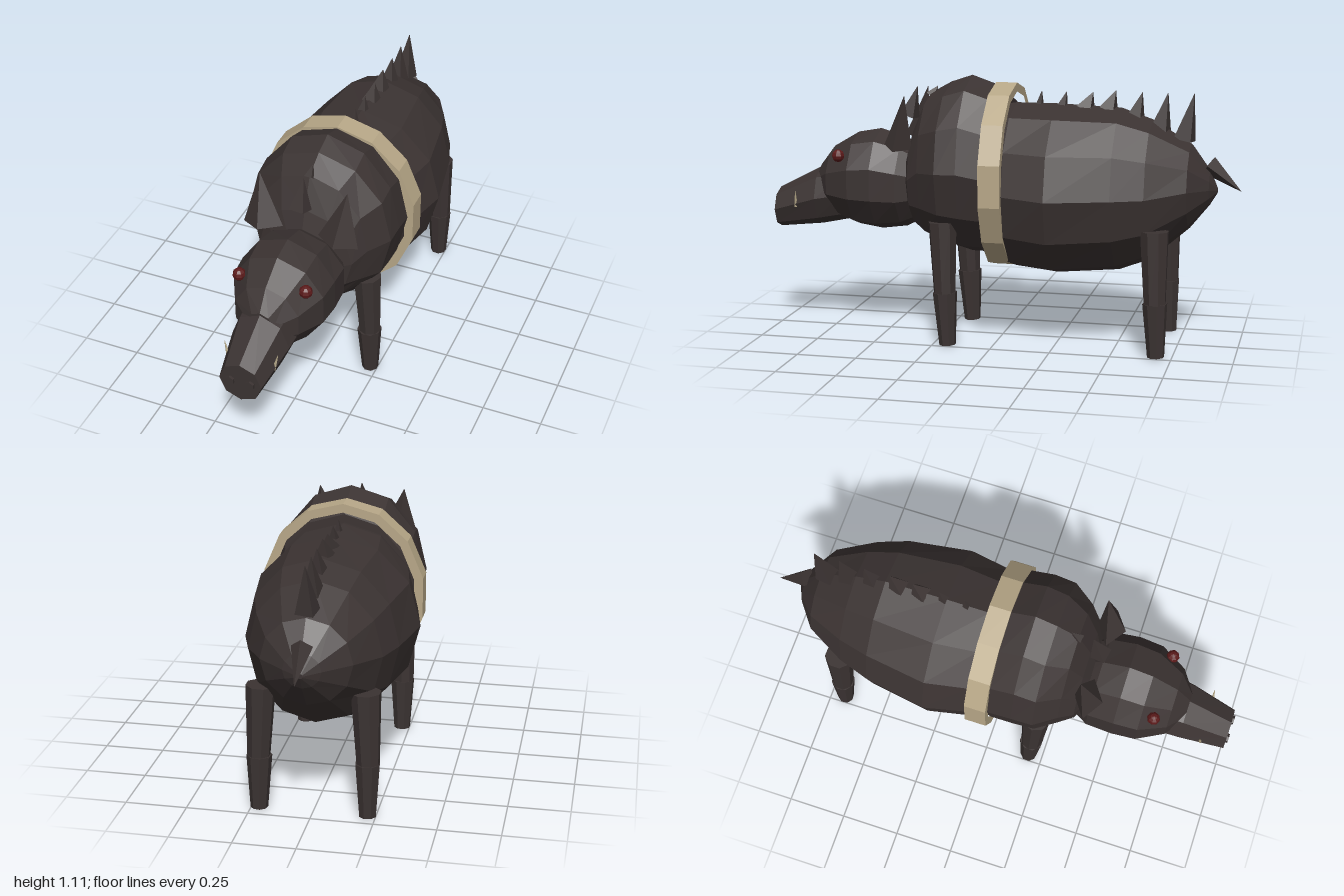
import * as THREE from 'three';

export function createModel() {
  const model = new THREE.Group();
  model.name = 'boar';
  const mat = (name, color) => {
    const m = new THREE.MeshStandardMaterial({ color, flatShading: true });
    m.name = name;
    return m;
  };
  const hide = mat('dark hide', 0x3b3332);
  const tan = mat('tan band', 0xb8a888);
  const ivory = mat('tusk ivory', 0xb5a888);
  const red = mat('eye red', 0x5c1a1a);

  const add = (name, geo, material, parent = model) => {
    const m = new THREE.Mesh(geo, material);
    m.name = name;
    parent.add(m);
    return m;
  };

  // Closed skin through elliptical rings [z, half width, top, bottom], front to back
  const loft = (rings, sides) => {
    const pos = [], idx = [];
    rings.forEach(([z, rx, top, bottom]) => {
      for (let i = 0; i < sides; i++) {
        const a = (i / sides) * Math.PI * 2;
        pos.push(Math.sin(a) * rx, (top + bottom) / 2 + Math.cos(a) * (top - bottom) / 2, z);
      }
    });
    const last = rings.length - 1;
    for (let r = 0; r < last; r++) {
      for (let i = 0; i < sides; i++) {
        const a = r * sides + i, b = r * sides + (i + 1) % sides;
        idx.push(a, b, a + sides, b, b + sides, a + sides);
      }
    }
    [0, last].forEach((r) => {
      const [z, , top, bottom] = rings[r];
      const c = pos.length / 3;
      pos.push(0, (top + bottom) / 2, z);
      for (let i = 0; i < sides; i++) {
        const a = r * sides + i, b = r * sides + (i + 1) % sides;
        if (r === 0) idx.push(c, b, a);
        else idx.push(c, a, b);
      }
    });
    const g = new THREE.BufferGeometry();
    g.setAttribute('position', new THREE.Float32BufferAttribute(pos, 3));
    g.setIndex(idx);
    const flat = g.toNonIndexed();
    flat.computeVertexNormals();
    return flat;
  };

  // Tapered limb or spike running between two points
  const up = new THREE.Vector3(0, 1, 0);
  const taper = (name, from, to, r0, r1, sides, material = hide, parent = model) => {
    const a = new THREE.Vector3(...from), b = new THREE.Vector3(...to);
    const dir = b.clone().sub(a);
    const m = add(name, new THREE.CylinderGeometry(r1, r0, dir.length(), sides), material, parent);
    m.position.copy(a).add(b).multiplyScalar(0.5);
    m.quaternion.setFromUnitVectors(up, dir.normalize());
    return m;
  };

  // Trunk
  add('hindBody', loft([
    [0.06, 0.27, 0.98, 0.35], [-0.06, 0.315, 1.0, 0.305], [-0.24, 0.352, 1.0, 0.285],
    [-0.5, 0.308, 0.99, 0.31], [-0.63, 0.265, 0.945, 0.36], [-0.79, 0.18, 0.85, 0.5],
    [-0.87, 0.075, 0.74, 0.6], [-0.9, 0.01, 0.67, 0.65]], 12), hide);
  add('shoulders', loft([
    [0.39, 0.14, 0.82, 0.52], [0.365, 0.2, 0.9, 0.47], [0.31, 0.245, 1.03, 0.42],
    [0.22, 0.31, 1.08, 0.385], [0.13, 0.312, 1.11, 0.36], [0.03, 0.31, 1.075, 0.36],
    [-0.03, 0.29, 1.03, 0.38]], 12), hide);

  // Band round the middle
  const ellipse = (rx, ry) => Array.from({ length: 14 }, (_, i) => {
    const a = (i / 14) * Math.PI * 2;
    return new THREE.Vector2(Math.sin(a) * rx, 0.695 + Math.cos(a) * ry);
  });
  const bandShape = new THREE.Shape(ellipse(0.343, 0.387));
  bandShape.holes.push(new THREE.Path(ellipse(0.305, 0.35)));
  const band = add('band', new THREE.ExtrudeGeometry(bandShape, { depth: 0.09, bevelEnabled: false }), tan);
  band.position.z = -0.06;

  // Head and snout
  const head = new THREE.Group();
  head.name = 'head';
  model.add(head);
  add('skull', loft([
    [0.8, 0.06, 0.71, 0.56], [0.74, 0.14, 0.79, 0.5], [0.63, 0.2, 0.855, 0.455],
    [0.53, 0.207, 0.873, 0.44], [0.42, 0.2, 0.84, 0.455], [0.33, 0.15, 0.78, 0.5]], 10), hide, head);
  add('snout', loft([
    [0.99, 0.088, 0.603, 0.43], [0.8, 0.12, 0.7, 0.45], [0.68, 0.13, 0.72, 0.475]], 8), hide, head);

  for (const s of [1, -1]) {
    const side = s > 0 ? 'left' : 'right';
    const nostril = add(side + 'Nostril', new THREE.CylinderGeometry(0.02, 0.02, 0.012, 6), hide, head);
    nostril.rotation.x = Math.PI / 2;
    nostril.position.set(s * 0.042, 0.52, 0.994);
    const eye = add(side + 'Eye', new THREE.SphereGeometry(0.027, 8, 6), red, head);
    eye.position.set(s * 0.14, 0.77, 0.68);
    taper(side + 'Tusk', [s * 0.095, 0.535, 0.89], [s * 0.112, 0.605, 0.885], 0.009, 0.001, 5, ivory, head);
    // Pointed ear, a flattened pyramid
    const ear = taper(side + 'Ear', [s * 0.16, 0.82, 0.41], [s * 0.185, 1.035, 0.375], 0.085, 0.001, 4, hide, head);
    ear.scale.z = 0.7;

    // Legs
    for (const [name, z, lean] of [['Front', 0.21, 0.022], ['Hind', -0.67, 0.015]]) {
      const leg = new THREE.Group();
      leg.name = side + name + 'Leg';
      model.add(leg);
      taper('upperLeg', [s * 0.207, 0.52, z], [s * 0.218, 0.22, z - lean * 0.5], 0.06, 0.046, 8, hide, leg);
      taper('lowerLeg', [s * 0.216, 0.225, z - lean * 0.5], [s * 0.218, 0.002, z - lean], 0.051, 0.035, 8, hide, leg);
    }
  }

  // Bristles: base y, base z, tip y, tip z, base radius
  [[0.93, 0.405, 1.055, 0.37, 0.045], [1.02, 0.31, 1.06, 0.28, 0.025],
    [0.98, -0.155, 1.05, -0.165, 0.022], [0.98, -0.25, 1.05, -0.27, 0.028],
    [0.98, -0.35, 1.05, -0.38, 0.045], [0.98, -0.445, 1.06, -0.475, 0.045],
    [0.94, -0.555, 1.055, -0.585, 0.046], [0.9, -0.66, 1.055, -0.69, 0.05],
    [0.865, -0.76, 1.055, -0.797, 0.052]].forEach(([y0, z0, y1, z1, r], i) => {
    taper('bristle' + (i + 1), [0, y0, z0], [0, y1, z1], r, 0.001, 4).rotateY(0.6);
  });

  // Tail
  taper('tail', [0, 0.765, -0.86], [0, 0.66, -0.995], 0.042, 0.001, 4);
  return model;
}
